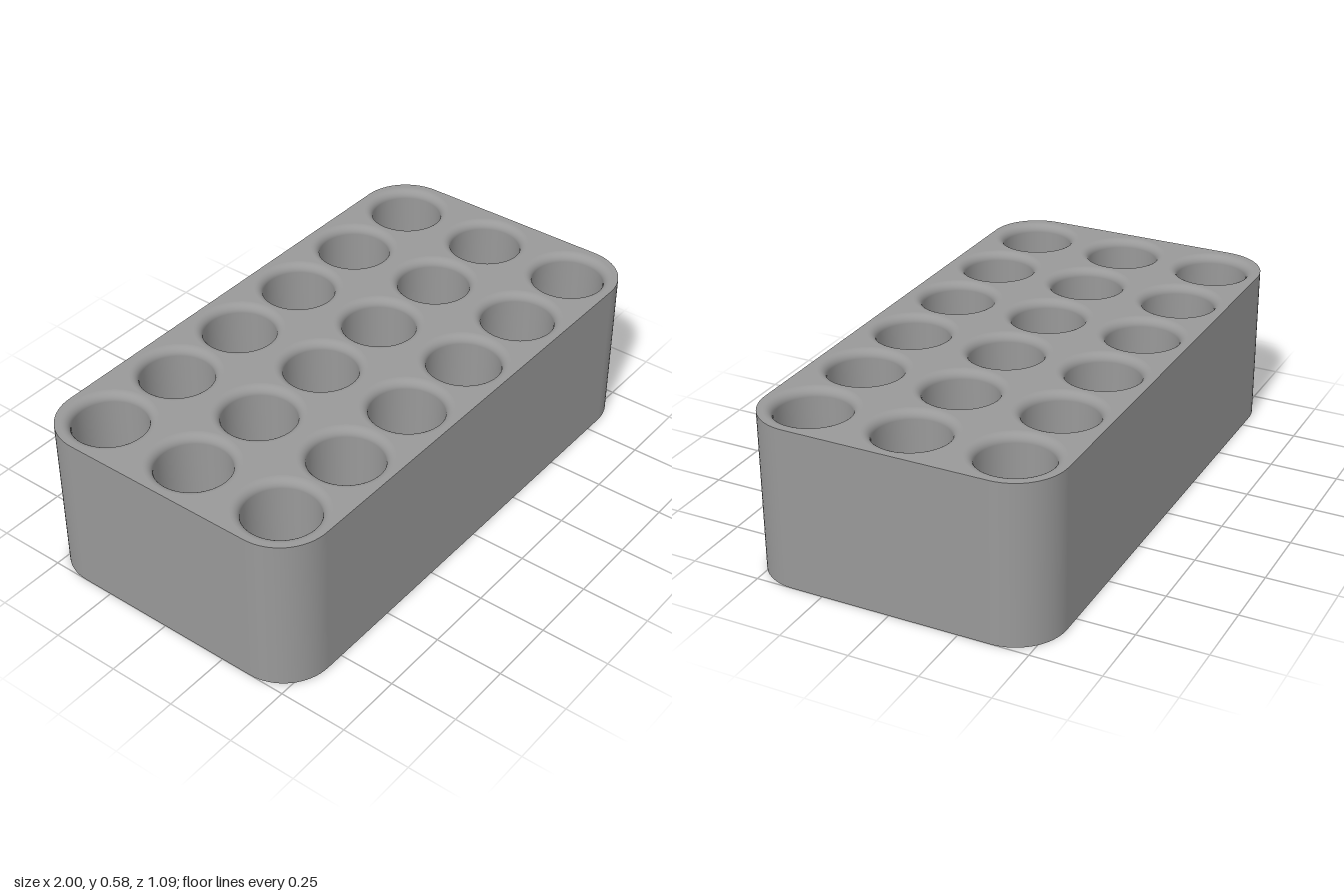
import * as THREE from 'three';

const HALF_X = 1, HALF_Z = 0.545, HEIGHT = 0.584, CORNER = 0.18;
const HOLE_R = 0.13, FILLET = 0.03, FLOOR_Y = 0.06;
const COLS = 6, ROWS = 3, STEP_X = 0.327, STEP_Z = 0.364, SEG = 48;

// Rounded rectangle outline: points with their outward directions
function outline() {
  const points = [], n = 16;
  [[1, 1], [-1, 1], [-1, -1], [1, -1]].forEach(([sx, sy], corner) => {
    for (let i = 0; i <= n; i++) {
      const a = (corner + i / n) * Math.PI / 2;
      const dx = Math.cos(a), dy = Math.sin(a);
      points.push({
        x: sx * (HALF_X - CORNER) + CORNER * dx,
        y: sy * (HALF_Z - CORNER) + CORNER * dy,
        dx, dy,
      });
    }
  });
  return points;
}

// Smooth vertical side wall around the outline
function wallGeometry(points) {
  const position = [], normal = [], index = [];
  points.forEach((p, i) => {
    position.push(p.x, 0, -p.y, p.x, HEIGHT, -p.y);
    normal.push(p.dx, 0, -p.dy, p.dx, 0, -p.dy);
    const a = 2 * i, b = 2 * ((i + 1) % points.length);
    index.push(a, b, b + 1, a, b + 1, a + 1);
  });
  const g = new THREE.BufferGeometry();
  g.setAttribute('position', new THREE.Float32BufferAttribute(position, 3));
  g.setAttribute('normal', new THREE.Float32BufferAttribute(normal, 3));
  g.setIndex(index);
  return g;
}

export function createModel() {
  const grey = new THREE.MeshStandardMaterial({ color: 0x999999 });
  grey.name = 'grey';
  const model = new THREE.Group();
  model.name = 'holderBlock';
  const add = (parent, name, geometry) => {
    const mesh = new THREE.Mesh(geometry, grey);
    mesh.name = name;
    parent.add(mesh);
    return mesh;
  };

  const points = outline();
  const makeShape = () => new THREE.Shape(points.map(p => new THREE.Vector2(p.x, p.y)));

  const centres = [];
  for (let r = 0; r < ROWS; r++)
    for (let c = 0; c < COLS; c++)
      centres.push([(c - (COLS - 1) / 2) * STEP_X, (r - (ROWS - 1) / 2) * STEP_Z]);

  // Block shell: walls, base and perforated top
  add(model, 'sideWall', wallGeometry(points));
  add(model, 'base', new THREE.ShapeGeometry(makeShape()).rotateX(Math.PI / 2));
  const topShape = makeShape();
  for (const [x, z] of centres) {
    const hole = new THREE.Path();
    hole.absarc(x, -z, HOLE_R + FILLET, 0, Math.PI * 2, true);
    topShape.holes.push(hole);
  }
  add(model, 'topFace', new THREE.ShapeGeometry(topShape, SEG / 2).rotateX(-Math.PI / 2))
    .position.y = HEIGHT;

  // Sockets: rounded lip, straight bore, flat floor
  const profile = [];
  for (let i = 0; i <= 8; i++) {
    const a = i / 8 * Math.PI / 2;
    profile.push(new THREE.Vector2(
      HOLE_R + FILLET * (1 - Math.sin(a)),
      HEIGHT - FILLET * (1 - Math.cos(a))));
  }
  profile.push(new THREE.Vector2(HOLE_R, FLOOR_Y));
  const boreGeometry = new THREE.LatheGeometry(profile, SEG);
  const floorGeometry = new THREE.CircleGeometry(HOLE_R, SEG).rotateX(-Math.PI / 2);
  for (const [x, z] of centres) {
    const socket = new THREE.Group();
    socket.name = 'socket';
    socket.position.set(x, 0, z);
    add(socket, 'socketBore', boreGeometry);
    add(socket, 'socketFloor', floorGeometry).position.y = FLOOR_Y;
    model.add(socket);
  }
  return model;
}
